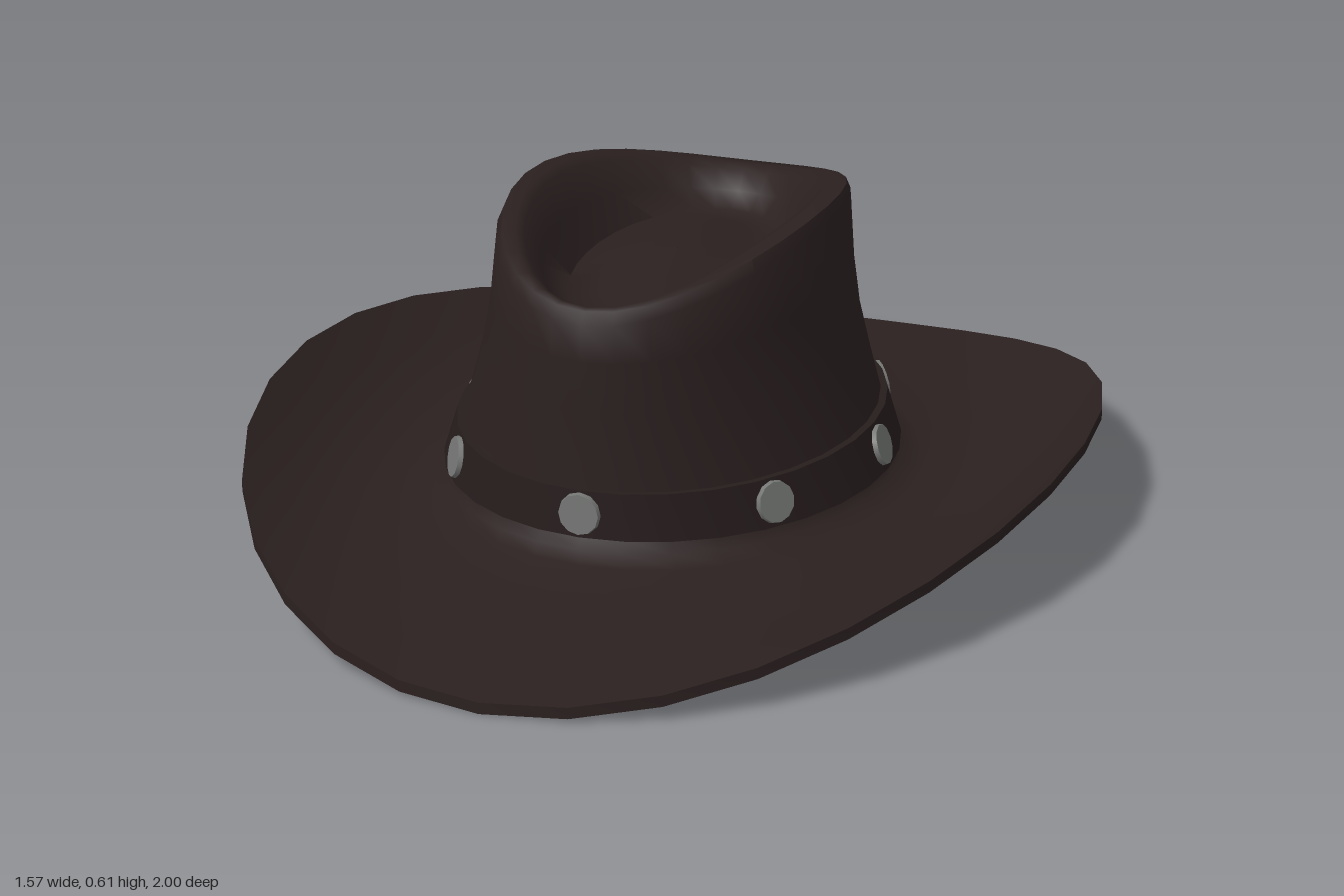
import * as THREE from 'three';
import { toCreasedNormals } from 'three/addons/utils/BufferGeometryUtils.js';

const SEGMENTS = 32;
const CROWN_X = -0.015; // the crown sits slightly off the brim's centre

// Oval rings: [rx, rz, y at the sides, y at front and back, x offset, front taper, z offset]
function loft(rings, closed = false) {
  const pos = [], index = [];
  for (const [rx, rz, ySide, yEnd, cx = 0, taper = 0, cz = 0] of rings) {
    for (let j = 0; j < SEGMENTS; j++) {
      const a = (j / SEGMENTS) * Math.PI * 2, c = Math.cos(a), s = Math.sin(a);
      pos.push(cx + rx * c * (1 - taper * s), yEnd + (ySide - yEnd) * c * c, cz + rz * s);
    }
  }
  const spans = closed ? rings.length : rings.length - 1;
  for (let i = 0; i < spans; i++) {
    const k = (i + 1) % rings.length;
    for (let j = 0; j < SEGMENTS; j++) {
      const n = (j + 1) % SEGMENTS;
      const a = i * SEGMENTS + j, b = k * SEGMENTS + j;
      const c = i * SEGMENTS + n, d = k * SEGMENTS + n;
      index.push(a, c, b, c, d, b);
    }
  }
  const g = new THREE.BufferGeometry();
  g.setAttribute('position', new THREE.Float32BufferAttribute(pos, 3));
  g.setIndex(index);
  return toCreasedNormals(g, 0.95);
}

export function createModel() {
  const felt = new THREE.MeshStandardMaterial({ color: 0x2b2020 });
  felt.name = 'dark brown felt';
  const leather = new THREE.MeshStandardMaterial({ color: 0x261c1c });
  leather.name = 'darker band leather';
  const metal = new THREE.MeshStandardMaterial({ color: 0x747674 });
  metal.name = 'grey metal';

  const hat = new THREE.Group();
  hat.name = 'hat';
  const add = (name, geometry, material) => {
    const mesh = new THREE.Mesh(geometry, material);
    mesh.name = name;
    hat.add(mesh);
    return mesh;
  };

  // Crown: low mound inside a grooved dent, broad rim, flared wall, fillet into the brim
  const crown = [
    [0.0005, 0.0005, 0.492, 0.492, CROWN_X, 0, -0.02],
    [0.06, 0.17, 0.487, 0.483, CROWN_X, 0.04, -0.02],
    [0.115, 0.27, 0.47, 0.467, CROWN_X, 0.06, -0.01],
    [0.175, 0.34, 0.468, 0.465, CROWN_X, 0.08, 0],
    [0.22, 0.385, 0.535, 0.495, CROWN_X, 0.08, 0.015],
    [0.25, 0.42, 0.603, 0.528, CROWN_X, 0.08, 0.02],
    [0.268, 0.442, 0.612, 0.534, CROWN_X, 0.07, 0.01],
    [0.298, 0.463, 0.612, 0.53, CROWN_X, 0.05],
    [0.307, 0.478, 0.59, 0.508, CROWN_X, 0.04],
    [0.318, 0.481, 0.46, 0.44, CROWN_X, 0.02],
    [0.337, 0.481, 0.35, 0.35, CROWN_X],
    [0.383, 0.481, 0.2, 0.2, CROWN_X],
    [0.41, 0.485, 0.11, 0.11, CROWN_X],
    [0.425, 0.505, 0.088, 0.092, CROWN_X],
  ];

  // Brim: sides roll up, front and back droop
  const brim = [
    [0.455, 0.54, 0.076, 0.078],
    [0.535, 0.65, 0.076, 0.062],
    [0.62, 0.77, 0.097, 0.046],
    [0.705, 0.885, 0.143, 0.034],
    [0.784, 1.0, 0.214, 0.021],
  ];
  const underside = brim.map(([rx, rz, a, b]) => [rx, rz, a - 0.021, b - 0.021]).reverse();

  // Hollow inside of the crown, rounded into the brim
  const lining = [
    [0.425, 0.505, 0.067, 0.067, CROWN_X],
    [0.4, 0.478, 0.09, 0.09, CROWN_X],
    [0.38, 0.465, 0.13, 0.13, CROWN_X],
    [0.36, 0.46, 0.2, 0.2, CROWN_X],
    [0.31, 0.45, 0.35, 0.35, CROWN_X],
    [0.24, 0.38, 0.42, 0.42, CROWN_X],
    [0.0005, 0.0005, 0.44, 0.44, CROWN_X],
  ];

  add('crownAndBrim', loft([...crown, ...brim, ...underside, ...lining]), felt);

  // Hat band
  add('hatBand', loft([
    [0.38, 0.475, 0.2, 0.2, CROWN_X],
    [0.397, 0.491, 0.2, 0.2, CROWN_X],
    [0.427, 0.497, 0.112, 0.112, CROWN_X],
    [0.4, 0.475, 0.108, 0.108, CROWN_X],
  ], true), leather);

  // Round studs spaced around the band
  const studGeometry = new THREE.CylinderGeometry(0.038, 0.04, 0.009, 12);
  const up = new THREE.Vector3(0, 1, 0);
  for (const degrees of [0, 41, 90, 139, 180, 221, 270, 319]) {
    const a = THREE.MathUtils.degToRad(degrees), c = Math.cos(a), s = Math.sin(a);
    const flat = new THREE.Vector3(c / 0.411, 0, s / 0.494).normalize();
    flat.y = 0.05 + 0.28 * c * c;
    const stud = add('bandStud', studGeometry, metal);
    stud.position.set(CROWN_X + 0.411 * c, 0.157, 0.494 * s);
    stud.quaternion.setFromUnitVectors(up, flat.normalize());
    stud.position.addScaledVector(flat, 0.003);
  }

  return hat;
}
